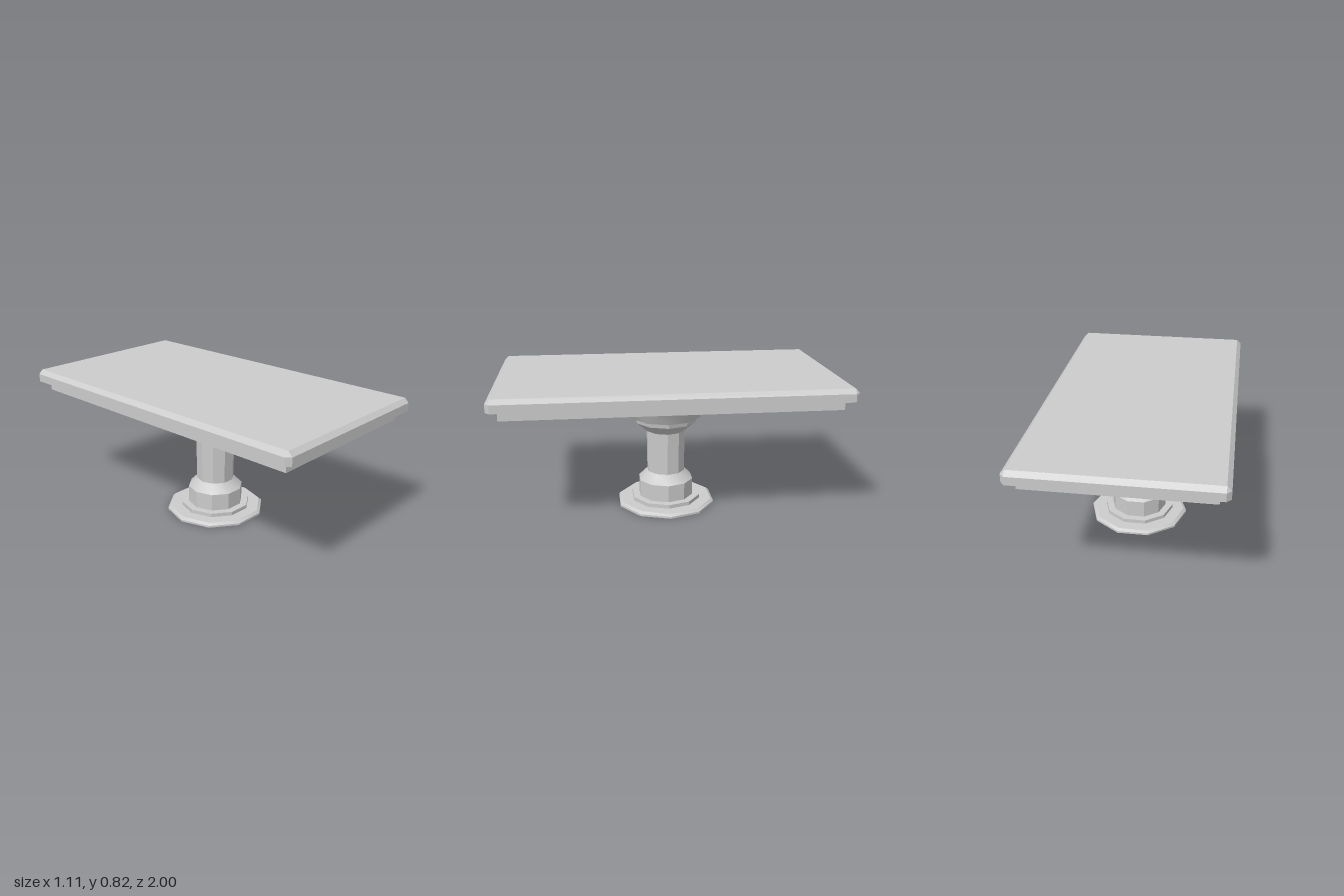
import * as THREE from 'three';
import { toCreasedNormals } from 'three/addons/utils/BufferGeometryUtils.js';
import { ConvexGeometry } from 'three/addons/geometries/ConvexGeometry.js';

const SIDES = 10;

export function createModel() {
  const table = new THREE.Group();
  table.name = 'pedestalTable';
  const material = new THREE.MeshStandardMaterial({ color: 0xcccccc });

  const add = (name, geometry, parent) => {
    const mesh = new THREE.Mesh(geometry, material);
    mesh.name = name;
    parent.add(mesh);
    return mesh;
  };

  // Ten-sided turned part from [radius, height] pairs, with a corner on +x
  const turned = (profile) => toCreasedNormals(
    new THREE.LatheGeometry(profile.map(([r, y]) => new THREE.Vector2(r, y)), SIDES, Math.PI / 2), 0.6);

  // Pedestal, slightly off the centre of the top
  const pedestal = new THREE.Group();
  pedestal.name = 'pedestal';
  pedestal.position.set(0.022, 0, 0.006);
  table.add(pedestal);

  add('foot', turned([[0, 0], [0.302, 0], [0.302, 0.012], [0.285, 0.025], [0, 0.025]]), pedestal);
  add('footRing', turned([[0.213, 0.025], [0.213, 0.048], [0, 0.048]]), pedestal);
  add('column', turned([
    [0.169, 0.048], [0.169, 0.152], [0.116, 0.205], [0.119, 0.463], [0.187, 0.522], [0.193, 0.552],
  ]), pedestal);
  add('capital', turned([[0, 0.552], [0.213, 0.552], [0.25, 0.625], [0.237, 0.692]]), pedestal);

  // Apron block under the top
  const apron = add('apron', new THREE.BoxGeometry(0.996, 0.06, 1.88), table);
  apron.position.set(-0.002, 0.72, 0.004);

  // Top slab with bevelled upper edges and clipped corners
  const points = [];
  const x = 0.555, z = 1, bevel = 0.025;
  for (const sx of [-1, 1]) {
    for (const sz of [-1, 1]) {
      for (const y of [0.748, 0.795]) {
        points.push(new THREE.Vector3(sx * x, y, sz * (z - bevel)));
        points.push(new THREE.Vector3(sx * (x - bevel), y, sz * z));
      }
      points.push(new THREE.Vector3(sx * (x - bevel), 0.82, sz * (z - bevel)));
    }
  }
  add('tableTop', new ConvexGeometry(points), table);

  return table;
}
